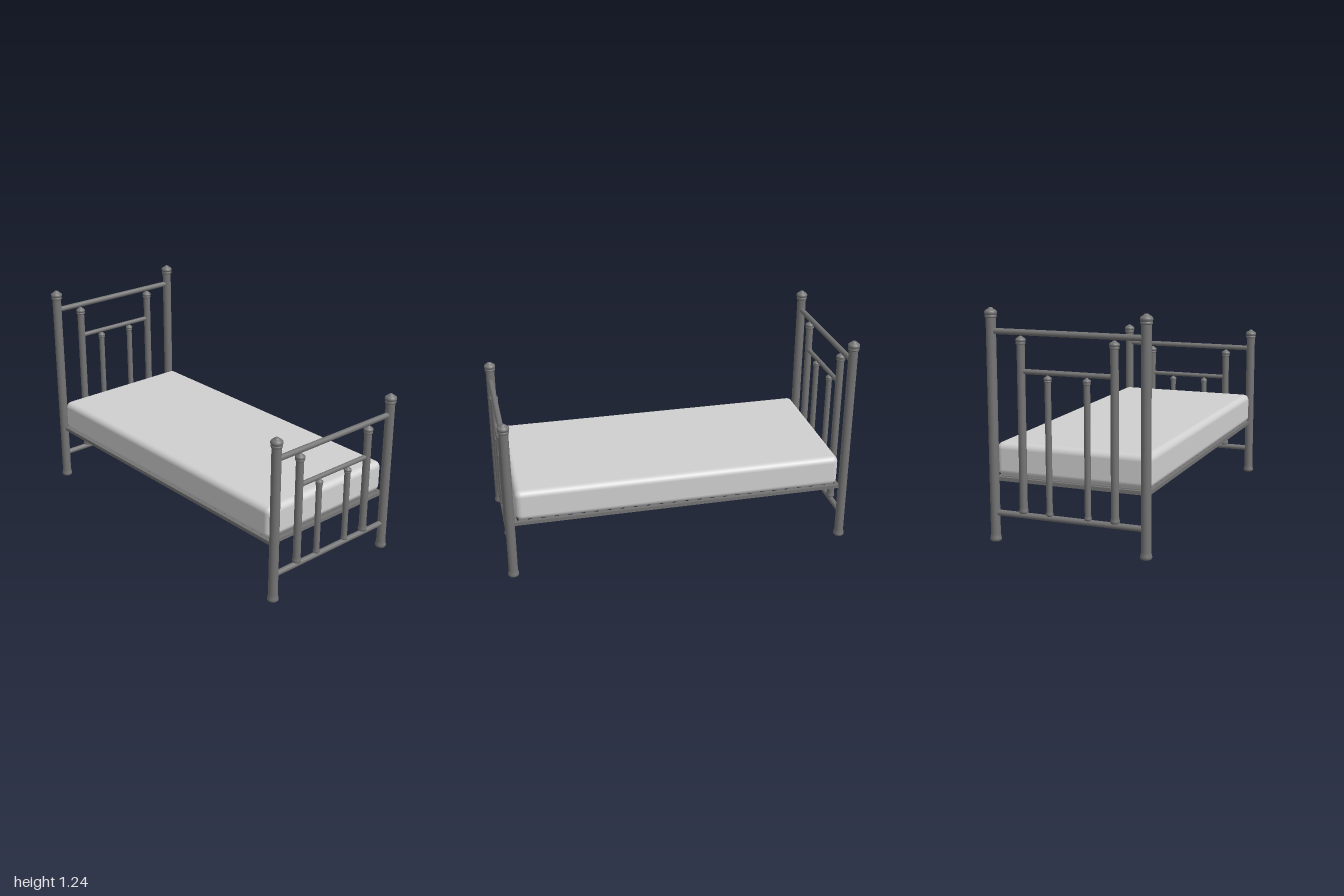
import * as THREE from 'three';
import { RoundedBoxGeometry } from 'three/addons/geometries/RoundedBoxGeometry.js';

const metal = new THREE.MeshStandardMaterial({ color: 0x747474 });
metal.name = 'grey metal';
const fabric = new THREE.MeshStandardMaterial({ color: 0xd0d0d0 });
fabric.name = 'pale fabric';

function add(parent, name, geometry, material, x = 0, y = 0, z = 0) {
  const mesh = new THREE.Mesh(geometry, material);
  mesh.name = name;
  mesh.position.set(x, y, z);
  parent.add(mesh);
  return mesh;
}

// Turned post: flared foot, plain shaft, two collar rings and a domed finial
function postGeometry(r, height) {
  const k = r / 0.026;
  const foot = [[0, 0], [0.024, 0], [0.03, 0.006], [0.031, 0.014], [0.029, 0.024], [0.026, 0.04]];
  const cap = [[0.026, -0.054], [0.03, -0.052], [0.032, -0.046], [0.03, -0.04], [0.028, -0.038],
    [0.032, -0.034], [0.0335, -0.027], [0.032, -0.02], [0.028, -0.016], [0.022, -0.011],
    [0.015, -0.008], [0.013, -0.004], [0.008, -0.001], [0, 0]];
  const points = [
    ...foot.map(([a, b]) => new THREE.Vector2(a * k, b * k)),
    ...cap.map(([a, b]) => new THREE.Vector2(a * k, height + b * k)),
  ];
  return new THREE.LatheGeometry(points, 24);
}

// Horizontal round rail along x
function rail(parent, name, r, length, y, z = 0) {
  const geometry = new THREE.CylinderGeometry(r, r, length, 20).rotateZ(Math.PI / 2);
  return add(parent, name, geometry, metal, 0, y, z);
}

// One end of the bed; both ends share the layout but differ in height
function bedEnd(name, height, z) {
  const end = new THREE.Group();
  end.name = name;
  end.position.z = z;
  for (const s of [-1, 1]) {
    add(end, 'cornerPost', postGeometry(0.026, height), metal, s * 0.425);
    add(end, 'innerPost', postGeometry(0.021, height - 0.307), metal, s * 0.257, 0.168);
    add(end, 'spindle', postGeometry(0.0165, height - 0.503), metal, s * 0.108, 0.168);
  }
  rail(end, 'topRail', 0.016, 0.84, height - 0.121);
  rail(end, 'middleRail', 0.0135, 0.5, height - 0.321);
  rail(end, 'bottomRail', 0.016, 0.84, 0.156);
  return end;
}

export function createModel() {
  const bed = new THREE.Group();
  bed.name = 'bed';
  bed.add(bedEnd('headboard', 1.238, -0.966), bedEnd('footboard', 0.945, 0.966));

  // Base frame
  const base = new THREE.Group();
  base.name = 'base';
  bed.add(base);
  for (const s of [-1, 1]) {
    add(base, 'sideRail', new THREE.BoxGeometry(0.02, 0.02, 1.9), metal, s * 0.422, 0.333);
    add(base, 'endRail', new THREE.BoxGeometry(0.84, 0.02, 0.02), metal, 0, 0.333, s * 0.935);
  }

  // Slats across the frame
  const count = 25;
  for (let i = 0; i < count; i++) {
    const z = -0.89 + (1.78 * i) / (count - 1);
    add(base, 'slat', new THREE.BoxGeometry(0.83, 0.014, 0.05), metal, 0, 0.336, z);
  }

  add(bed, 'mattress', new RoundedBoxGeometry(0.868, 0.18, 1.862, 5, 0.035), fabric, 0, 0.435, 0);
  return bed;
}
